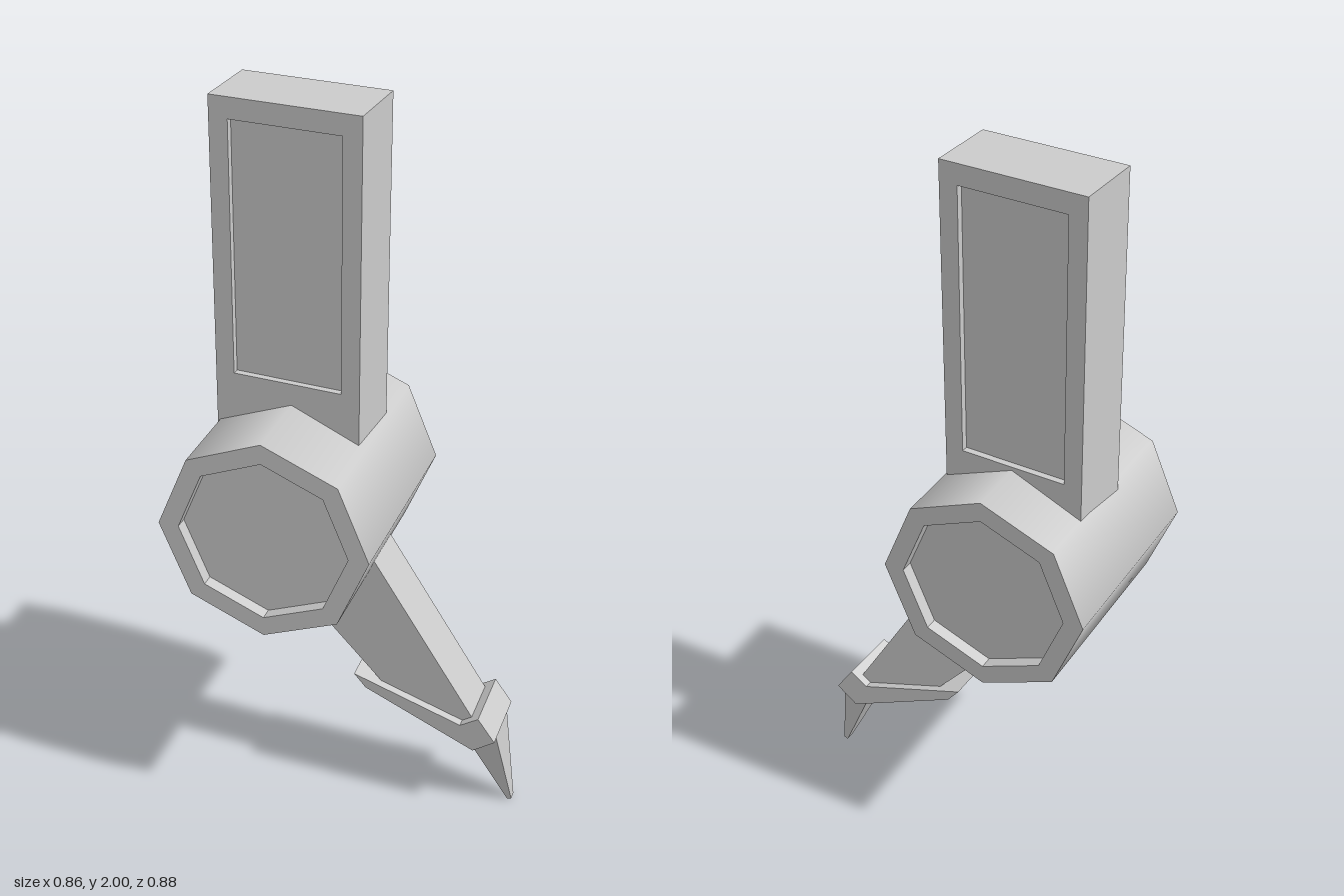
import * as THREE from 'three';
import { ConvexGeometry } from 'three/addons/geometries/ConvexGeometry.js';

const smooth = new THREE.MeshStandardMaterial({ color: 0xcccccc });
const flat = new THREE.MeshStandardMaterial({ color: 0xcccccc, flatShading: true });
const inner = new THREE.MeshStandardMaterial({ color: 0xcccccc, flatShading: true, side: THREE.BackSide });

function add(parent, name, geometry, material = flat) {
  const mesh = new THREE.Mesh(geometry, material);
  mesh.name = name;
  parent.add(mesh);
  return mesh;
}

function polygon(points) {
  return points.map(([x, y]) => new THREE.Vector2(x, y));
}

// Side profile given thickness, centred on z = 0
function slab(points, width, hole) {
  const shape = new THREE.Shape(polygon(points));
  if (hole) shape.holes.push(new THREE.Path(polygon(hole)));
  const g = new THREE.ExtrudeGeometry(shape, { depth: width, bevelEnabled: false });
  return g.translate(0, 0, -width / 2);
}

function rect(x0, x1, y0, y1) {
  return [[x0, y0], [x1, y0], [x1, y1], [x0, y1]];
}

// Eight-sided drum with a recessed disc in each end
function makeDrum() {
  const drum = new THREE.Group();
  drum.name = 'drum';
  const R = 0.285, r = 0.23, half = 0.285, depth = 0.035;
  add(drum, 'drumWall', new THREE.CylinderGeometry(R, R, half * 2, 8, 1, true).rotateX(Math.PI / 2), smooth);
  for (const turn of [0, Math.PI]) {
    const end = new THREE.Group();
    end.name = 'drumEnd';
    end.rotation.y = turn;
    add(end, 'rim', new THREE.RingGeometry(r, R, 8)).position.z = half;
    add(end, 'recessWall', new THREE.CylinderGeometry(r, r, depth, 8, 1, true).rotateX(Math.PI / 2), inner)
      .position.z = half - depth / 2;
    add(end, 'recessFloor', new THREE.CircleGeometry(r, 8)).position.z = half - depth;
    drum.add(end);
  }
  drum.position.y = 0.925;
  return drum;
}

// Upright post with a sunken panel on both broad sides
function makePost() {
  const post = new THREE.Group();
  post.name = 'post';
  const h = 0.197, thick = 0.193, depth = 0.018, bottom = 0.95, top = 2;
  const core = thick - depth * 2;
  add(post, 'postCore', slab(rect(-h, h, bottom, top), core));
  for (const [side, panelBottom] of [[1, 1.27], [-1, 1.22]]) {
    const hole = rect(-h + 0.05, h - 0.05, panelBottom, 1.945);
    add(post, 'panelFrame', slab(rect(-h, h, bottom, top), depth, hole))
      .position.z = side * (core + depth) / 2;
  }
  post.position.set(-0.007, 0, -0.027);
  post.rotation.y = -0.05;
  return post;
}

// Slanting arm ending in a guard and a pointed tip
function makeArm() {
  const arm = new THREE.Group();
  arm.name = 'arm';
  add(arm, 'armBeam', slab([[0.14, 0.92], [0.505, 0.322], [0.49, 0.28], [0.25, 0.376], [-0.03, 0.686]], 0.135));
  add(arm, 'guard', slab([[0.174, 0.405], [0.207, 0.365], [0.516, 0.225], [0.576, 0.27], [0.528, 0.34], [0.478, 0.305]], 0.18));
  const corners = [];
  for (const side of [-1, 1]) {
    for (const [x, y, w] of [[0.49, 0.238, 0.06], [0.57, 0.275, 0.06], [0.602, 0.002, 0.012], [0.614, 0.006, 0.012]]) {
      corners.push(new THREE.Vector3(x, y, side * w));
    }
  }
  add(arm, 'tip', new ConvexGeometry(corners));
  arm.position.z = -0.047;
  arm.rotation.x = 0.047;
  return arm;
}

export function createModel() {
  const model = new THREE.Group();
  model.name = 'model';
  const body = new THREE.Group();
  body.name = 'body';
  body.add(makeDrum(), makePost(), makeArm());
  // The whole piece is turned about the vertical
  body.rotation.y = -0.885;
  body.position.set(-0.03, 0, -0.04);
  model.add(body);
  return model;
}
